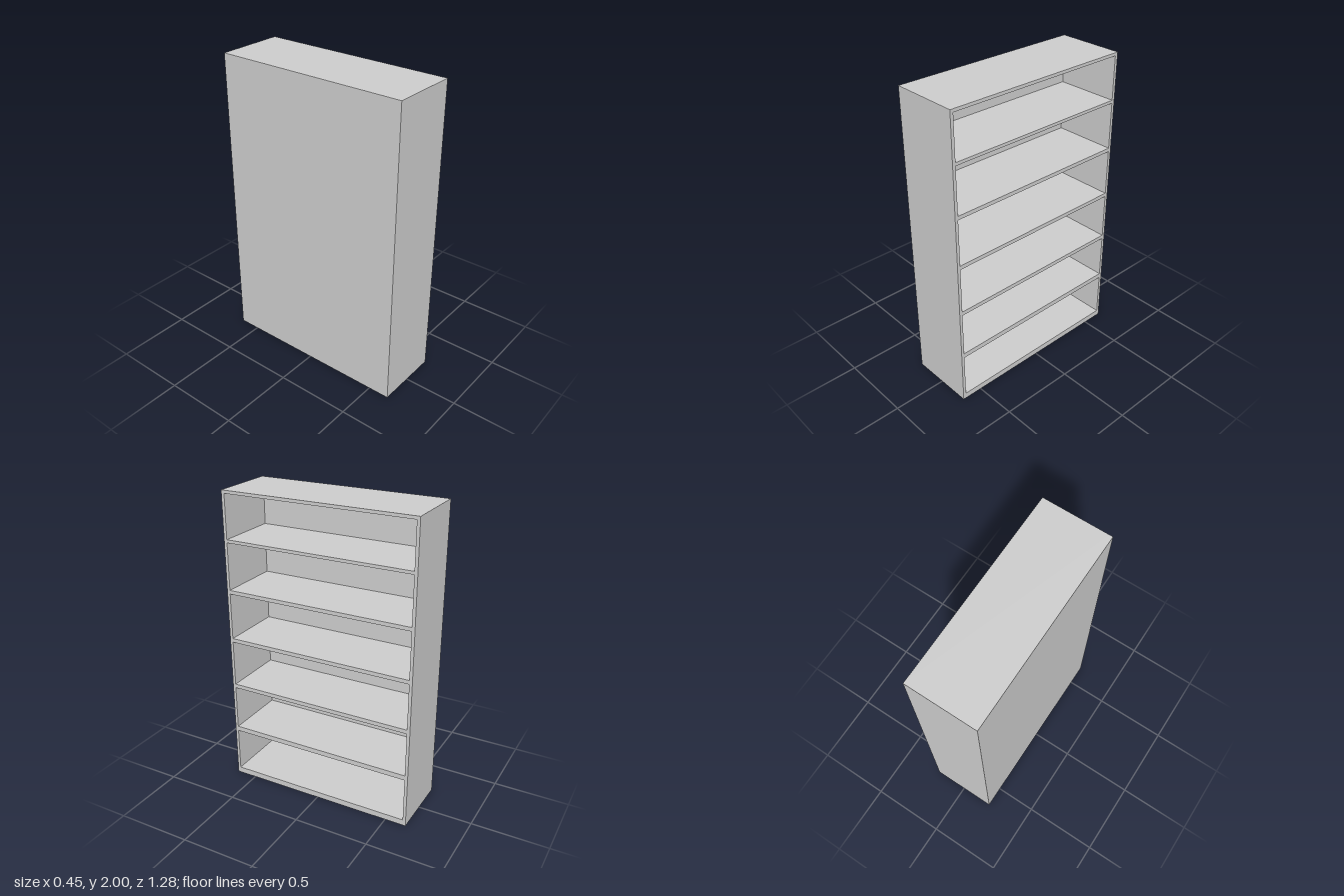
import * as THREE from 'three';

const HEIGHT = 2, WIDTH = 1.284, DEPTH = 0.446;
const SIDE = 0.02; // side wall thickness
const BACK = 0.02; // back panel thickness

// Bottom and top of each open compartment
const COMPARTMENTS = [
  [0.04, 0.34], [0.373, 0.672], [0.699, 1.006],
  [1.032, 1.34], [1.365, 1.675], [1.695, 1.98],
];

// Counter-clockwise rectangle, centred across the width
function rectangle(path, halfWidth, y0, y1) {
  path.moveTo(-halfWidth, y0);
  path.lineTo(halfWidth, y0);
  path.lineTo(halfWidth, y1);
  path.lineTo(-halfWidth, y1);
  path.closePath();
  return path;
}

export function createModel() {
  const group = new THREE.Group();
  group.name = 'bookcase';
  const material = new THREE.MeshStandardMaterial({ color: 0xcccccc });

  // Side walls, top, base and shelves as one frame, open towards +x
  const outline = rectangle(new THREE.Shape(), WIDTH / 2, 0, HEIGHT);
  for (const [y0, y1] of COMPARTMENTS) {
    outline.holes.push(rectangle(new THREE.Path(), WIDTH / 2 - SIDE, y0, y1));
  }
  const frameGeometry = new THREE.ExtrudeGeometry(outline, { depth: DEPTH - BACK, bevelEnabled: false });
  frameGeometry.rotateY(Math.PI / 2);
  const frame = new THREE.Mesh(frameGeometry, material);
  frame.name = 'shelfFrame';
  frame.position.x = -DEPTH / 2 + BACK;
  group.add(frame);

  // Closed back on the -x side
  const back = new THREE.Mesh(new THREE.BoxGeometry(BACK, HEIGHT, WIDTH), material);
  back.name = 'backPanel';
  back.position.set(-DEPTH / 2 + BACK / 2, HEIGHT / 2, 0);
  group.add(back);

  return group;
}
